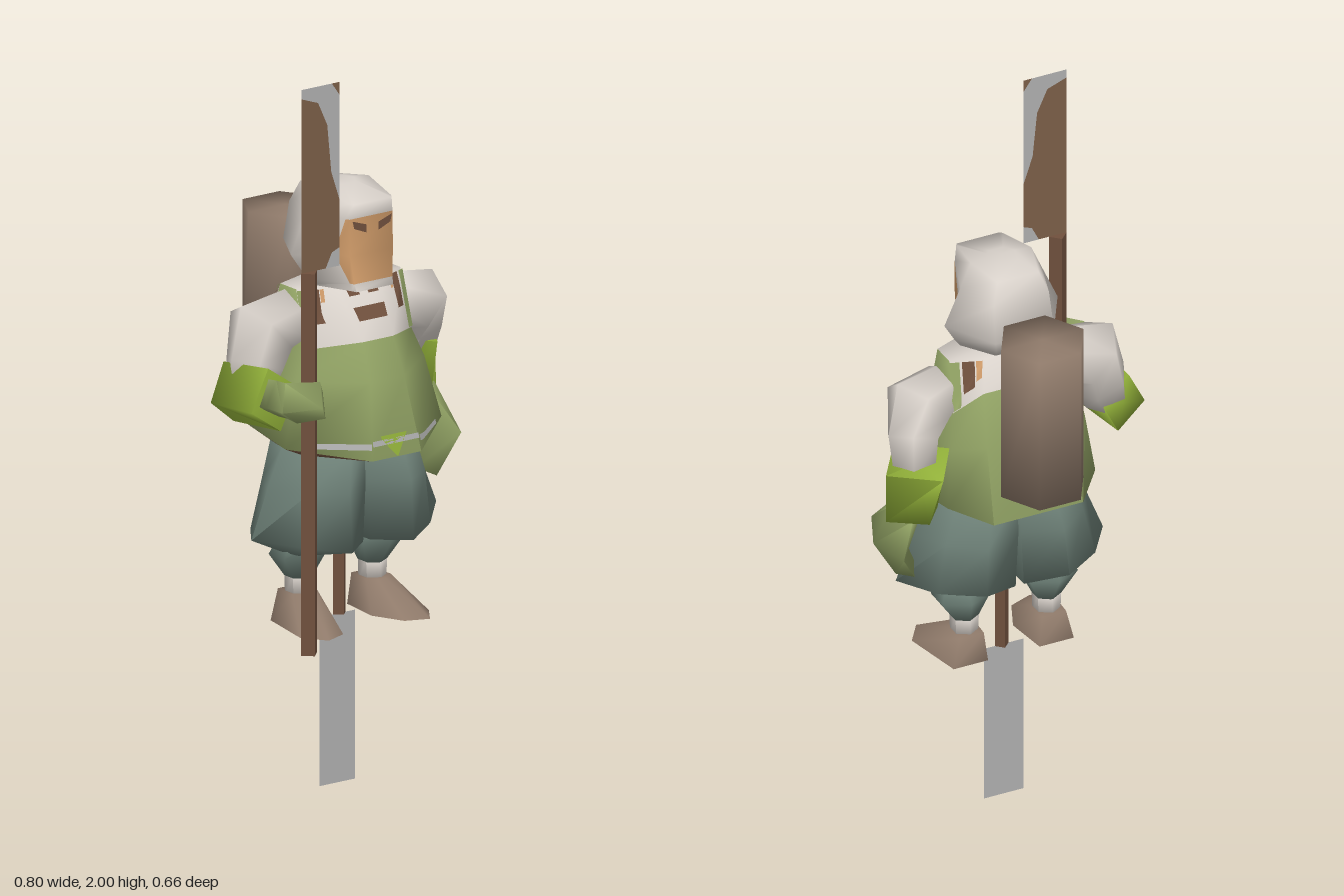
import * as THREE from 'three';
import { toCreasedNormals } from 'three/addons/utils/BufferGeometryUtils.js';

const V = (p) => new THREE.Vector3(...p);

export function createModel() {
  const model = new THREE.Group();
  const mat = (name, color, side = THREE.FrontSide) => {
    const m = new THREE.MeshStandardMaterial({ color, side });
    m.name = name;
    return m;
  };
  const cloth = mat('pale cloth', 0xd8d1ca);
  const olive = mat('olive green', 0x91a264);
  const lime = mat('bright green', 0x93b23a);
  const teal = mat('grey teal', 0x6d8077);
  const leather = mat('leather', 0x8f7a6a);
  const wood = mat('dark brown', 0x70503d);
  const board = mat('weathered brown', 0x7c5f48, THREE.DoubleSide);
  const skin = mat('skin', 0xd39e6b);
  const steel = mat('steel', 0xb0b0b0, THREE.DoubleSide);

  function add(name, geometry, material, x = 0, y = 0, z = 0) {
    const mesh = new THREE.Mesh(geometry, material);
    mesh.name = name;
    mesh.position.set(x, y, z);
    model.add(mesh);
  }

  // Skin over a stack of rings, closed at both ends; pick chooses a material per panel
  function loft(name, rings, mats, pick = () => 0) {
    const n = rings[0].length, last = rings.length - 1;
    const pos = rings.flat(2);
    const sets = mats.map(() => []);
    for (let i = 0; i < last; i++) for (let j = 0; j < n; j++) {
      const k = (j + 1) % n, a = i * n + j, b = i * n + k, c = b + n, d = a + n;
      sets[pick(i, j)].push(a, b, c, a, c, d);
    }
    for (const end of [0, last]) {
      const mid = pos.length / 3;
      for (let q = 0; q < 3; q++) pos.push(rings[end].reduce((s, p) => s + p[q], 0) / n);
      const set = sets[pick(end ? last - 1 : 0, 0)];
      for (let j = 0; j < n; j++) {
        const a = end * n + j, b = end * n + (j + 1) % n;
        set.push(...(end ? [mid, a, b] : [mid, b, a]));
      }
    }
    const g = new THREE.BufferGeometry();
    g.setAttribute('position', new THREE.Float32BufferAttribute(pos, 3));
    g.setIndex(sets.flat());
    let start = 0;
    sets.forEach((s, m) => { g.addGroup(start, s.length, m); start += s.length; });
    add(name, toCreasedNormals(g, 1.6), mats);
  }

  // Ring builders
  const sym = (half) => [...half, ...half.map(([x, y, z]) => [-x, y, z]).reverse()];
  const oval = (cx, y, cz, rx, rz, n = 8, turn = 0) => Array.from({ length: n }, (_, j) => {
    const a = turn + (j / n) * Math.PI * 2;
    return [cx + rx * Math.sin(a), y, cz + rz * Math.cos(a)];
  });
  const mirror = (rings) => rings.map((r) => r.map(([x, y, z]) => [-x, y, z]).reverse());

  // Rings following a path of [x, y, z, radiusU, radiusV]
  function limb(path, n, turn = 0, ref = [0, 0, 1]) {
    return path.map((p, i) => {
      const c = V(p.slice(0, 3));
      const t = V(path[Math.min(i + 1, path.length - 1)].slice(0, 3))
        .sub(V(path[Math.max(i - 1, 0)].slice(0, 3))).normalize();
      const u = V(ref).cross(t).normalize(), v = t.clone().cross(u);
      return Array.from({ length: n }, (_, j) => {
        const a = turn + (j / n) * Math.PI * 2;
        return c.clone().addScaledVector(u, p[3] * Math.cos(a))
          .addScaledVector(v, (p[4] ?? p[3]) * Math.sin(a)).toArray();
      });
    });
  }

  // Painted patch following one panel of a loft; uv holds four corners within the panel
  function patch(name, rings, row, col, uv, material) {
    const n = rings[0].length, k = (col + 1) % n;
    const [a, b, c, d] = [rings[row][col], rings[row][k], rings[row + 1][k], rings[row + 1][col]].map(V);
    const normal = c.clone().sub(a).cross(d.clone().sub(b)).normalize();
    const on = (s, t) => (s >= t
      ? a.clone().multiplyScalar(1 - s).addScaledVector(b, s - t).addScaledVector(c, t)
      : a.clone().multiplyScalar(1 - t).addScaledVector(d, t - s).addScaledVector(c, s));
    const [p, q, r, w] = uv.map((e) => new THREE.Vector2(...e));
    const g = new THREE.PlaneGeometry(1, 1, 6, 6);
    const pos = g.attributes.position;
    for (let i = 0; i < pos.count; i++) {
      const x = pos.getX(i) + 0.5, y = pos.getY(i) + 0.5;
      const e = p.clone().lerp(q, x).lerp(w.clone().lerp(r, x), y);
      pos.setXYZ(i, ...on(e.x, e.y).addScaledVector(normal, 0.005).toArray());
    }
    g.computeVertexNormals();
    add(name, g, material);
  }
  const rect = (s0, s1, t0, t1) => [[s0, t0], [s1, t0], [s1, t1], [s0, t1]];

  // Tunic with pale yoke and brown underside
  const tunic = [
    [[0.06, 0.935, 0.15], [0.18, 0.945, 0.09], [0.17, 0.95, -0.07], [0.1, 0.95, -0.12]],
    [[0.08, 0.95, 0.26], [0.255, 0.98, 0.115], [0.215, 0.99, -0.1], [0.13, 0.97, -0.2]],
    [[0.055, 1.15, 0.22], [0.21, 1.15, 0.1], [0.195, 1.15, -0.08], [0.12, 1.17, -0.14]],
    [[0.05, 1.25, 0.178], [0.175, 1.23, 0.09], [0.18, 1.25, -0.06], [0.115, 1.32, -0.11]],
    [[0.07, 1.385, 0.09], [0.17, 1.385, 0.05], [0.17, 1.385, -0.02], [0.08, 1.385, -0.05]],
  ].map(sym);
  loft('tunic', tunic, [cloth, olive, wood], (row, col) =>
    row === 0 ? 2 : row < 3 ? 1 : col === 1 || col === 5 ? 1 : 0);
  add('neck', new THREE.CylinderGeometry(0.06, 0.07, 0.08, 8), cloth, 0, 1.385, 0.02);

  // Yoke buckle, shoulder straps and hem trim
  patch('chestBuckle', tunic, 3, 7, rect(0.12, 0.94, 0.34, 0.58), wood);
  patch('leftCollarTab', tunic, 3, 7, rect(0.6, 0.85, 0.78, 0.95), wood);
  patch('rightCollarTab', tunic, 3, 7, rect(0.15, 0.4, 0.78, 0.95), wood);
  for (const [side, front, back, flip] of [['left', 0, 2, (s) => s], ['right', 6, 4, (s) => 1 - s]]) {
    const area = (s0, s1, t0, t1) => rect(Math.min(flip(s0), flip(s1)), Math.max(flip(s0), flip(s1)), t0, t1);
    patch(side + 'Strap', tunic, 3, front, area(0.45, 0.72, 0.4, 0.97), wood);
    patch(side + 'StrapEdge', tunic, 3, front, area(0.8, 1, 0.02, 0.97), olive);
    patch(side + 'NeckPatch', tunic, 3, front, area(0.33, 0.43, 0.75, 0.97), skin);
    patch(side + 'BackStrap', tunic, 3, back, area(0.35, 0.7, 0.35, 0.97), wood);
    patch(side + 'BackStrapEdge', tunic, 3, back, area(0, 0.28, 0.02, 0.97), olive);
    patch(side + 'BackNeckPatch', tunic, 3, back, area(0.74, 0.92, 0.5, 0.97), skin);
    patch(side + 'Trim', tunic, 1, front, [[0, 0.14], [0.7, 0.05], [0.7, 0.12], [0, 0.22]]
      .map(([s, t]) => [flip(s), t]).sort((m, o) => m[1] - o[1])
      .sort((m, o) => (m[1] > 0.14 || m[1] === 0.12) - (o[1] > 0.14 || o[1] === 0.12))
      .sort((m, o) => (m[1] > 0.14 || m[1] === 0.12) !== (o[1] > 0.14 || o[1] === 0.12) ? 0
        : (m[1] > 0.14 || m[1] === 0.12 ? o[0] - m[0] : m[0] - o[0])), steel);
  }
  patch('frontTrim', tunic, 1, 7, rect(0, 1, 0.18, 0.25), steel);
  patch('hemTab', tunic, 1, 7, [[0.49, 0.01], [0.51, 0.01], [0.78, 0.3], [0.22, 0.3]], lime);

  // Hood with face opening
  const hood = [
    [[0.06, 1.385, 0.165], [0.065, 1.385, 0.15], [0.11, 1.385, 0.04], [0.06, 1.4, -0.07]],
    [[0.062, 1.405, 0.158], [0.067, 1.405, 0.145], [0.125, 1.405, 0.035], [0.065, 1.415, -0.085]],
    [[0.07, 1.48, 0.15], [0.084, 1.48, 0.1], [0.165, 1.47, 0.02], [0.085, 1.47, -0.12]],
    [[0.07, 1.58, 0.148], [0.076, 1.58, 0.138], [0.118, 1.575, 0.02], [0.08, 1.575, -0.1]],
    [[0.062, 1.62, 0.155], [0.068, 1.622, 0.145], [0.088, 1.643, 0.02], [0.06, 1.63, -0.08]],
    [[0.02, 1.645, 0.05], [0.03, 1.645, 0.04], [0.04, 1.647, 0.02], [0.03, 1.645, -0.02]],
  ].map(sym);
  loft('hood', hood, [cloth, skin], (row, col) =>
    (row === 1 || row === 2) && (col === 7 || col === 0 || col === 6) ? 1 : 0);
  patch('leftBrow', hood, 2, 7, [[0.64, 0.58], [0.92, 0.74], [0.96, 0.95], [0.64, 0.8]], wood);
  patch('rightBrow', hood, 2, 7, [[0.08, 0.74], [0.36, 0.58], [0.36, 0.8], [0.04, 0.95]], wood);

  // Legs
  const shorts = [
    oval(0.13, 0.665, 0.03, 0.06, 0.06, 7),
    [[0.1, 0.69, 0.2], [0.2, 0.705, 0.14], [0.302, 0.72, 0.03], [0.23, 0.715, -0.07],
      [0.12, 0.715, -0.14], [0.012, 0.69, -0.09], [0.012, 0.69, 0.13]],
    [[0.1, 0.85, 0.19], [0.19, 0.85, 0.13], [0.25, 0.85, 0.03], [0.2, 0.85, -0.06],
      [0.11, 0.85, -0.13], [0.004, 0.85, -0.09], [0.004, 0.85, 0.13]],
    [[0.08, 0.96, 0.17], [0.16, 0.96, 0.12], [0.2, 0.96, 0.03], [0.17, 0.96, -0.06],
      [0.09, 0.96, -0.11], [0.001, 0.96, -0.08], [0.001, 0.96, 0.12]],
  ];
  const shoe = [
    [[0.165, 0.46, 0.185], [0.21, 0.46, 0.12], [0.175, 0.46, -0.055],
      [0.075, 0.46, -0.055], [0.06, 0.46, 0.07], [0.1, 0.46, 0.16]],
    [[0.125, 0.545, 0.045], [0.16, 0.545, 0.02], [0.155, 0.545, -0.05],
      [0.085, 0.545, -0.05], [0.08, 0.545, 0.02], [0.1, 0.545, 0.045]],
  ];
  const stocking = [
    oval(0.12, 0.585, -0.005, 0.038, 0.036, 6),
    oval(0.128, 0.65, 0, 0.08, 0.068, 6),
    oval(0.13, 0.69, 0.01, 0.06, 0.06, 6),
  ];
  const ankle = [oval(0.12, 0.53, -0.005, 0.036, 0.038, 6), oval(0.12, 0.595, -0.005, 0.04, 0.036, 6)];
  for (const [side, place] of [['left', (r) => r], ['right', mirror]]) {
    loft(side + 'Shorts', place(shorts), [teal]);
    loft(side + 'Stocking', place(stocking), [teal]);
    loft(side + 'Ankle', place(ankle), [cloth]);
    loft(side + 'Shoe', place(shoe), [leather]);
  }

  // Left arm hanging at the side
  loft('leftSleeve', limb([[0.17, 1.3, 0.01, 0.065], [0.25, 1.27, 0, 0.095],
    [0.288, 1.2, -0.045, 0.075], [0.3, 1.1, -0.08, 0.06]], 6), [cloth]);
  loft('leftCuff', [
    [[0.31, 0.96, -0.01], [0.385, 0.985, -0.08], [0.3, 1.0, -0.165], [0.235, 0.99, -0.08]],
    [[0.31, 1.15, 0.025], [0.395, 1.14, -0.1], [0.28, 1.15, -0.205], [0.2, 1.16, -0.08]],
  ], [lime]);
  loft('leftHand', limb([[0.315, 1.0, -0.06, 0.05, 0.05], [0.35, 0.89, -0.02, 0.042, 0.095],
    [0.3, 0.79, -0.02, 0.03, 0.055]], 4), [olive]);

  // Right arm reaching forward to the pole
  loft('rightSleeve', limb([[-0.16, 1.3, 0.01, 0.08], [-0.25, 1.28, 0.005, 0.1],
    [-0.28, 1.19, 0.015, 0.08], [-0.31, 1.12, 0.03, 0.06]], 6), [cloth]);
  loft('rightCuff', limb([[-0.335, 1.12, -0.025, 0.07, 0.085],
    [-0.308, 1.13, 0.138, 0.09, 0.09]], 4, 0.2, [0, 1, 0]), [lime]);
  loft('rightHand', limb([[-0.31, 1.135, 0.13, 0.055, 0.055], [-0.32, 1.145, 0.19, 0.05, 0.055],
    [-0.342, 1.155, 0.255, 0.045, 0.06], [-0.28, 1.165, 0.31, 0.025, 0.055]], 4, 0.3, [0, 1, 0]), [olive]);

  // Back roll
  loft('backRoll', [1.07, 1.52].map((y) => oval(0.002, y, -0.226, 0.12, 0.121, 6, Math.PI / 6 * 3)), [leather]);

  // Held pole and the tall two-tone plate on top of it
  const pole = (r, h) => toCreasedNormals(new THREE.CylinderGeometry(r, r, h, 4), 0.8);
  add('heldPole', pole(0.026, 1.04), wood, -0.28, 0.98, 0.25);
  const flat = (pts) => new THREE.ShapeGeometry(new THREE.Shape(pts.map((p) => new THREE.Vector2(...p))));
  const wear = [[-0.305, 1.975], [-0.25, 1.955], [-0.22, 1.89], [-0.207, 1.76], [-0.18, 1.68]];
  const chip = [[-0.18, 1.55], [-0.205, 1.54], [-0.225, 1.5]];
  add('plate', flat([...wear, ...chip, [-0.305, 1.5]]), board, 0, 0, 0.25);
  add('plateEdge', flat([...wear, [-0.18, 1.965], [-0.205, 2], [-0.305, 2]]), steel, 0, 0, 0.25);
  add('plateTip', flat([[-0.18, 1.965], [-0.18, 2], [-0.205, 2]]), board, 0, 0, 0.25);
  add('plateCorner', flat([...chip, [-0.18, 1.5]]), steel, 0, 0, 0.25);

  // Second shaft behind the legs with its blade pointing down
  add('bladeShaft', pole(0.02, 0.9), wood, 0.008, 0.91, 0);
  add('blade', new THREE.PlaneGeometry(0.116, 0.46), steel, 0.002, 0.23, 0);

  return model;
}
